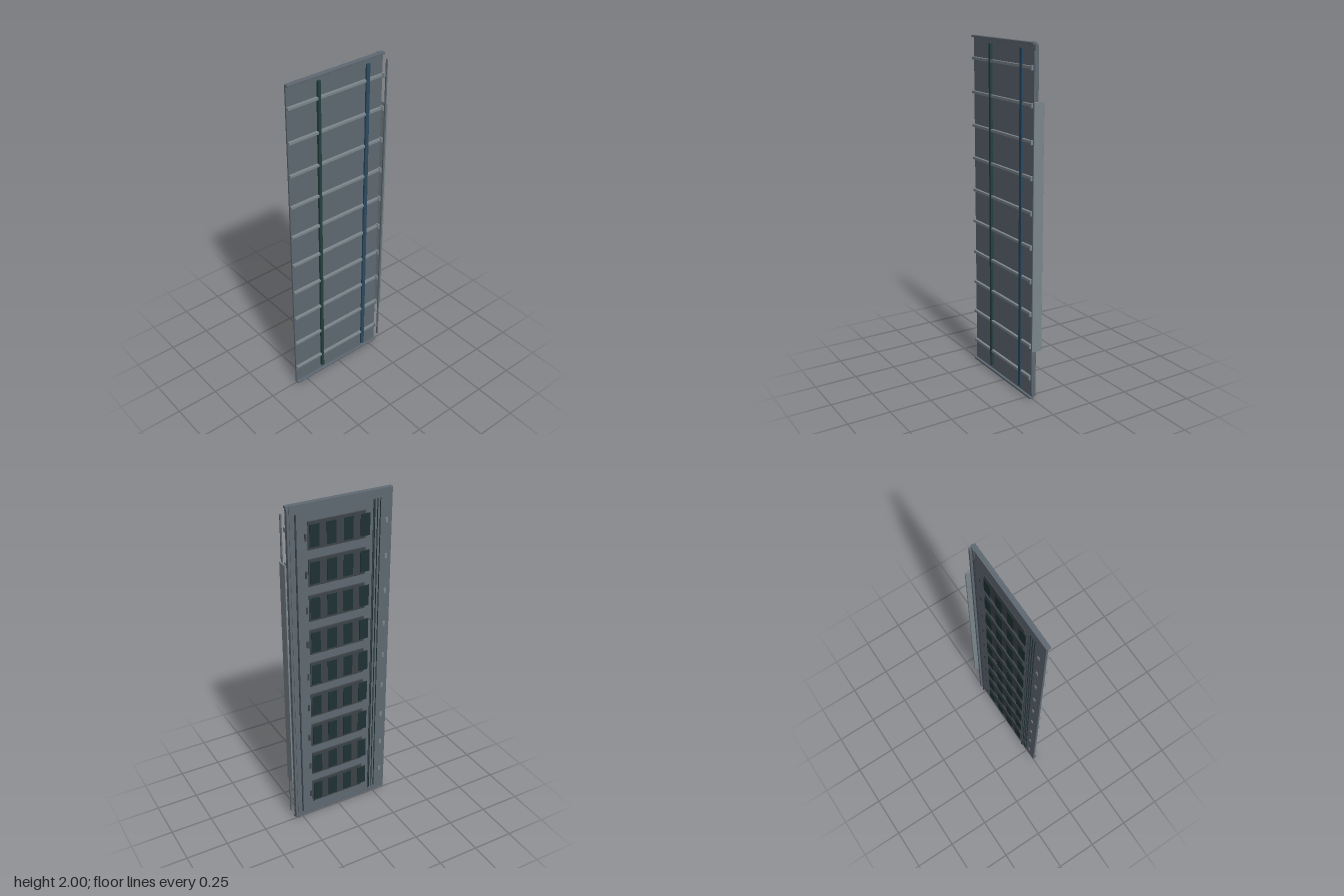
import * as THREE from 'three';
import { RoundedBoxGeometry } from 'three/addons/geometries/RoundedBoxGeometry.js';

const mat = (color) => new THREE.MeshStandardMaterial({ color });
const steel = mat(0x5f6972), light = mat(0x7b868c), dark = mat(0x3c4348);
const tileMat = mat(0x1f3234), green = mat(0x24413f), blue = mat(0x2c4a60);

export function createModel() {
  const root = new THREE.Group();
  root.name = 'wallPanel';

  // Softly bevelled block given by its limits on each axis
  const block = (name, material, [x0, x1], [y0, y1], [z0, z1], parent = root) => {
    const size = [x1 - x0, y1 - y0, z1 - z0];
    const radius = Math.min(0.0015, Math.min(...size) * 0.25);
    const mesh = new THREE.Mesh(new RoundedBoxGeometry(...size, 1, radius), material);
    mesh.position.set((x0 + x1) / 2, (y0 + y1) / 2, (z0 + z1) / 2);
    mesh.name = name;
    parent.add(mesh);
    return mesh;
  };
  const around = (c, size) => [c - size / 2, c + size / 2];

  // Main sheet with flanges along the top and bottom
  block('sheet', steel, [-0.003, 0.008], [0.008, 1.998], [-0.3, 0.326]);
  block('bottomFlange', steel, [0.007, 0.023], [0.008, 0.02], [-0.3, 0.326]);
  block('topFlange', steel, [0.007, 0.023], [1.986, 1.998], [-0.3, 0.326]);

  // Horizontal ribs, each ending in a clip at the back edge
  const ribs = new THREE.Group();
  ribs.name = 'ribs';
  root.add(ribs);
  for (let i = 0; i < 10; i++) {
    const y = 0.14 + i * 0.1923;
    block('rib', light, [0.007, 0.023], around(y, 0.016), [-0.29, 0.326], ribs);
    block('ribClip', light, [0.007, 0.03], around(y, 0.026), [-0.3, -0.288], ribs);
  }

  // Vertical strips crossing the ribs
  block('frontStrip', green, [0.008, 0.0235], [0.045, 1.965], [0.121, 0.139]);
  block('backStrip', blue, [0.014, 0.0255], [0.045, 1.965], [-0.2, -0.177]);

  // Back edge: rail, hinge post, rod and cover plate
  block('edgeRail', steel, [-0.015, -0.002], [0.02, 1.985], [-0.3, -0.288]);
  block('hingePost', steel, [-0.006, 0.003], [0, 2], [-0.281, -0.266]);
  block('latchRod', steel, [0.018, 0.027], [0.055, 1.955], [-0.32, -0.311]);
  block('coverPlate', light, [-0.032, 0.03], [0.31, 1.7], [-0.328, -0.319]);

  // Rows of tiles on backing boards, with small connectors at both ends
  for (let i = 0; i < 9; i++) {
    const y = 0.17 + i * 0.2065;
    const row = new THREE.Group();
    row.name = 'tileRow';
    root.add(row);
    block('backingBoard', dark, [-0.009, -0.002], around(y, 0.155), [-0.18, 0.161], row);
    for (let k = 0; k < 4; k++) {
      block('tile', tileMat, [-0.016, -0.012], around(y, 0.125), around(-0.146 + k * 0.1005, 0.057), row);
    }
    block('backConnector', dark, [-0.022, -0.017], around(y, 0.04), [-0.206, -0.194], row);
    block('frontConnector', light, [-0.015, -0.01], around(y, 0.03), [0.279, 0.295], row);
  }

  // Vertical conduits and thin cables
  const cables = [
    [-0.015, -0.253, 0.0045, dark], [-0.014, 0.205, 0.0035, dark],
    [-0.01, 0.214, 0.0025, tileMat], [-0.01, 0.231, 0.0025, tileMat], [-0.01, 0.248, 0.0025, tileMat],
  ];
  for (const [x, z, r, material] of cables) {
    const cable = new THREE.Mesh(new THREE.CylinderGeometry(r, r, 1.9, 10), material);
    cable.position.set(x, 1, z);
    cable.name = 'cable';
    root.add(cable);
  }
  return root;
}
